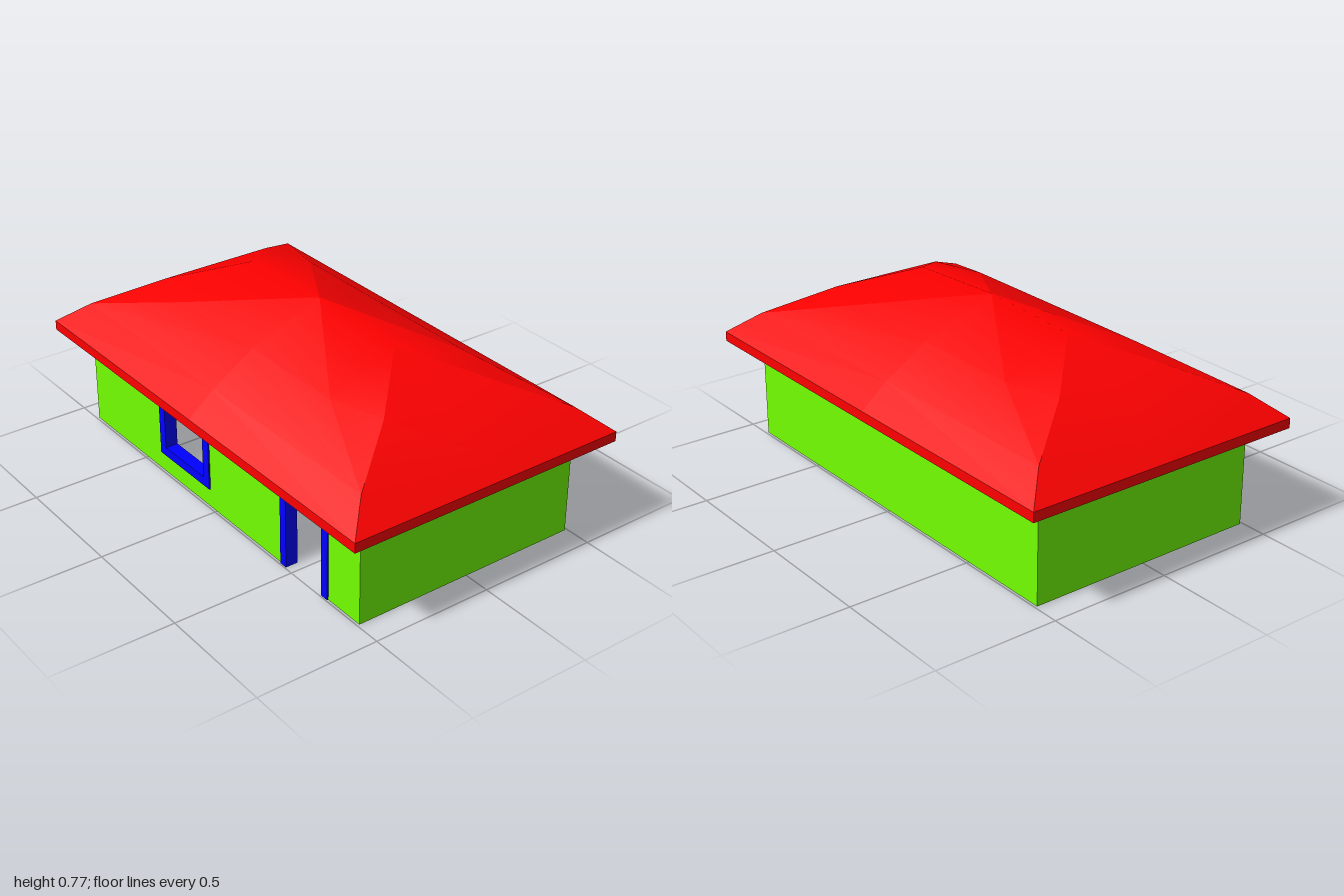
import * as THREE from 'three';
import { mergeGeometries, toCreasedNormals } from 'three/addons/utils/BufferGeometryUtils.js';

const green = new THREE.MeshStandardMaterial({ color: 0x73ff00 });
const blue = new THREE.MeshStandardMaterial({ color: 0x0000ff });
const red = new THREE.MeshStandardMaterial({ color: 0xff0000 });

const W = 0.89, D = 0.49, T = 0.04, WALL_TOP = 0.483;

function addMesh(parent, name, geometry, material, x = 0, y = 0, z = 0) {
  const mesh = new THREE.Mesh(geometry, material);
  mesh.name = name;
  mesh.position.set(x, y, z);
  parent.add(mesh);
}

const points = (list) => list.map(([x, y]) => new THREE.Vector2(x, y));
const rect = (x0, x1, y0, y1) => [[x0, y0], [x1, y0], [x1, y1], [x0, y1]];
const extrude = (shape, depth) => new THREE.ExtrudeGeometry(shape, { depth, bevelEnabled: false });

// Door outline with clipped top corners, from the left foot round to the right foot
const doorArch = (x0, x1, top, c) => [[x0, 0], [x0, top - c], [x0 + c, top], [x1 - c, top], [x1, top - c], [x1, 0]];

// One quarter of the roof, mirrored to all four; the crease angle decides which edges stay sharp
function mirrorQuarter(triangles, crease) {
  const position = [];
  for (const sx of [1, -1]) for (const sz of [1, -1]) {
    for (const [a, b, c] of triangles) {
      for (const [x, y, z] of sx * sz > 0 ? [a, b, c] : [a, c, b]) position.push(x * sx, y, z * sz);
    }
  }
  const geometry = new THREE.BufferGeometry();
  geometry.setAttribute('position', new THREE.Float32BufferAttribute(position, 3));
  return toCreasedNormals(geometry, crease);
}

// Curved hip roof: a hollow shell whose underside rises a little less steeply than its top
function roofGeometry() {
  const EAVE = 0.445, FASCIA = 0.04, RISE = 0.865;
  const top = {
    A: [0, 0.77, 0], B: [0.45, 0.75, 0],
    C: [0.70, 0.65, 0], D: [0.70, 0.65, 0.245], E: [0.48, 0.65, 0.31], F: [0, 0.65, 0.31],
    G: [0.89, 0.535, 0.49], H: [0.89, 0.535, 0], I: [0, 0.535, 0.49],
    J: [1, EAVE, 0.6], K: [1, EAVE, 0], L: [0, EAVE, 0.6],
  };
  const under = {};
  for (const [key, [x, y, z]] of Object.entries(top)) {
    under[key] = [x, EAVE - FASCIA + (y - EAVE) * RISE, z];
  }
  const pick = (faces, from) => faces.split(' ').map((face) => [...face].map((k) => from[k]));
  const slopes = 'AFE FIG FGE BDC DGH DHC ILJ IJG GJK GKH';
  const hips = 'AEB BED EGD';
  const underside = pick(`${slopes} ${hips}`, under).map(([a, b, c]) => [a, c, b]);
  const fascia = ['LJ', 'JK'].flatMap(([a, b]) => [
    [under[a], under[b], top[b]], [under[a], top[b], top[a]],
  ]);
  return mergeGeometries([
    mirrorQuarter([...pick(slopes, top), ...fascia], 0.42),
    mirrorQuarter(pick(hips, top), 0.9), // blends softly over the ridge
    mirrorQuarter(underside, 0.42),
  ]);
}

export function createModel() {
  const house = new THREE.Group();
  house.name = 'house';

  // Front wall with door notch and window opening
  const walls = new THREE.Group();
  walls.name = 'walls';
  house.add(walls);
  const front = new THREE.Shape(points([
    [-W, 0], ...doorArch(0.44, 0.695, 0.395, 0.025), [W, 0], [W, WALL_TOP], [-W, WALL_TOP],
  ]));
  front.holes.push(new THREE.Path(points(rect(-0.37, -0.055, 0.095, 0.345))));
  addMesh(walls, 'frontWall', extrude(front, T), green, 0, 0, D - T);

  // Plain back and side walls
  addMesh(walls, 'backWall', new THREE.BoxGeometry(2 * W, WALL_TOP, T), green, 0, WALL_TOP / 2, -D + T / 2);
  for (const [name, s] of [['leftWall', 1], ['rightWall', -1]]) {
    addMesh(walls, name, new THREE.BoxGeometry(T, WALL_TOP, 2 * (D - T)), green, s * (W - T / 2), WALL_TOP / 2, 0);
  }

  // Frames stand slightly proud of the wall on both faces
  const frameZ = 0.443;
  const windowShape = new THREE.Shape(points(rect(-0.386, -0.04, 0.08, 0.36)));
  windowShape.holes.push(new THREE.Path(points(rect(-0.347, -0.08, 0.118, 0.318))));
  addMesh(house, 'windowFrame', extrude(windowShape, 0.053), blue, 0, 0, frameZ);

  const doorShape = new THREE.Shape(points([
    ...doorArch(0.425, 0.71, 0.41, 0.025), ...doorArch(0.46, 0.675, 0.38, 0.02).reverse(),
  ]));
  addMesh(house, 'doorFrame', extrude(doorShape, 0.052), blue, 0, 0, frameZ);

  addMesh(house, 'roof', roofGeometry(), red);
  return house;
}
